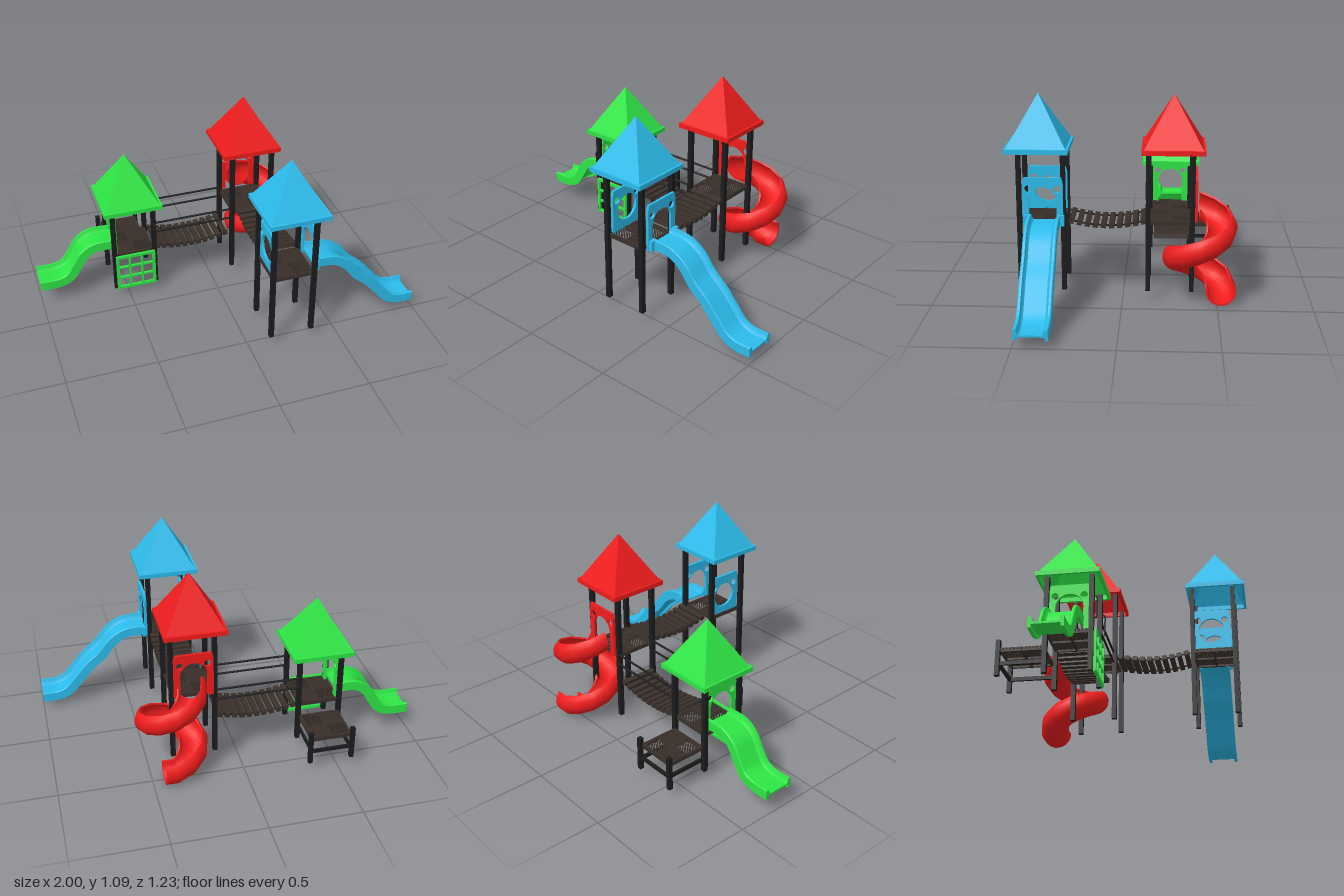
import * as THREE from 'three';
import { toCreasedNormals } from 'three/addons/utils/BufferGeometryUtils.js';

const mat = (color) => new THREE.MeshStandardMaterial({ color, side: THREE.DoubleSide });
const GREEN = mat(0x2ee645), BLUE = mat(0x2cbcec), RED = mat(0xf01c1c);
const DARK = mat(0x1c1c1e), WOOD = mat(0x3a302a);

function add(parent, name, geo, material, x = 0, y = 0, z = 0) {
  const m = new THREE.Mesh(geo, material);
  m.name = name;
  m.position.set(x, y, z);
  parent.add(m);
  return m;
}
const box = (p, name, m, w, h, d, x, y, z) => add(p, name, new THREE.BoxGeometry(w, h, d), m, x, y, z);
function group(parent, name, x = 0, y = 0, z = 0) {
  const g = new THREE.Group();
  g.name = name;
  g.position.set(x, y, z);
  parent.add(g);
  return g;
}

// Joins equal closed cross-sections into a solid with capped ends
function loft(section, frames, place, crease) {
  const n = section.length, pos = [], idx = [];
  frames.forEach((f) => section.forEach((s) => pos.push(...place(f, s))));
  for (let i = 0; i < frames.length - 1; i++)
    for (let j = 0; j < n; j++) {
      const a = i * n + j, b = i * n + (j + 1) % n;
      idx.push(a, b, a + n, b, b + n, a + n);
    }
  const last = (frames.length - 1) * n;
  for (const [a, b, c] of THREE.ShapeUtils.triangulateShape(section, []))
    idx.push(a, c, b, last + a, last + b, last + c);
  const geo = new THREE.BufferGeometry();
  geo.setAttribute('position', new THREE.Float32BufferAttribute(pos, 3));
  geo.setIndex(idx);
  return toCreasedNormals(geo, crease);
}

// Hipped roof: square fascia frame with an open pyramid above
function roof(parent, m, x, y, z) {
  const g = group(parent, 'roof', x, y, z);
  for (const s of [-1, 1]) {
    box(g, 'fascia', m, 0.332, 0.025, 0.014, 0, 0.0125, s * 0.159);
    box(g, 'fascia', m, 0.014, 0.025, 0.304, s * 0.159, 0.0125, 0);
  }
  const cone = new THREE.ConeGeometry(0.156 * Math.SQRT2, 0.27, 4, 1, true).toNonIndexed();
  cone.rotateY(Math.PI / 4);
  cone.computeVertexNormals();
  add(g, 'pyramid', cone, m, 0, 0.157, 0);
}

// Square grating: frame, cross bars and mirrored diagonal slats
function deck(parent, size, x, y, z) {
  const g = group(parent, 'deck', x, y, z), h = size / 2;
  for (const s of [-1, 0, 1]) {
    box(g, 'deckBeam', WOOD, size, 0.022, 0.012, 0, 0, s * (h - 0.006));
    box(g, 'deckBeam', WOOD, 0.012, 0.022, size, s * (h - 0.006), 0, 0);
  }
  for (const sx of [-1, 1]) for (const sz of [-1, 1])
    for (let c = 0.02; c < size - 0.01; c += 0.0185) {
      const len = Math.min(c, size - c) * Math.SQRT2;
      const slat = box(g, 'deckSlat', WOOD, len, 0.01, 0.008, sx * c / 2, 0.004, sz * c / 2);
      slat.rotation.y = sx * sz * Math.PI / 4;
    }
}

function tower(parent, name, m, x, z, floor, eave, rx, rz) {
  const g = group(parent, name);
  for (const sx of [-1, 1]) for (const sz of [-1, 1])
    box(g, 'post', DARK, 0.025, eave - 0.04, 0.025, x + sx * 0.116, (eave + 0.06) / 2, z + sz * 0.116);
  deck(g, 0.23, x, floor, z);
  roof(g, m, rx, eave, rz);
  return g;
}

// Wall panel with two peepholes and a round window or an arched doorway
function panel(parent, m, arch, x, y, z, turn) {
  const s = new THREE.Shape(), w = 0.106, r = 0.072, cy = 0.131;
  s.moveTo(-w, 0);
  if (arch) {
    s.lineTo(-r, 0);
    s.lineTo(-r, cy);
    s.absarc(0, cy, r, Math.PI, 0, true);
    s.lineTo(r, 0);
  }
  [[w, 0], [w, 0.225], [w - 0.008, 0.255], [-w + 0.008, 0.255], [-w, 0.225]].forEach((p) => s.lineTo(...p));
  const hole = (hx, hy, hr) => s.holes.push(new THREE.Path().absarc(hx, hy, hr, 0, Math.PI * 2, true));
  hole(-0.075, 0.193, 0.019);
  hole(0.075, 0.193, 0.019);
  if (!arch) hole(0, cy, r);
  const geo = new THREE.ExtrudeGeometry(s, { depth: 0.014, bevelEnabled: false, curveSegments: 24 });
  geo.translate(0, 0, -0.007);
  add(parent, arch ? 'doorPanel' : 'windowPanel', geo, m, x, y, z).rotation.y = turn;
}

// Wavy slide: H-shaped section carried along a path in x and y
function slide(parent, name, m, path, z) {
  const curve = new THREE.CatmullRomCurve3(path.map(([x, y]) => new THREE.Vector3(x, y, z)));
  const half = [[0.085, -0.028], [0.085, 0.024], [0.08, 0.028], [0.069, 0.028], [0.064, 0.01], [0.055, 0]];
  const section = [[0.069, -0.01], [0.069, -0.028], ...half].map((p) => new THREE.Vector2(...p));
  section.push(...section.slice().reverse().map((p) => new THREE.Vector2(-p.x, p.y)));
  const frames = [];
  for (let i = 0; i <= 36; i++) {
    const t = curve.getTangentAt(i / 36), n = new THREE.Vector3(-t.y, t.x, 0);
    if (n.y < 0) n.negate();
    frames.push({ p: curve.getPointAt(i / 36), n });
  }
  add(parent, name, loft(section, frames, ({ p, n }, s) => [p.x + n.x * s.y, p.y + n.y * s.y, p.z + s.x], 0.6), m);
}

// Spiral trough of one and a quarter turns with a raised outer wall
function spiral(parent) {
  const section = [], steps = 15;
  for (const [r, dir] of [[0.08, 1], [0.07, -1]])
    for (let i = 0; i <= 14; i++) {
      const k = dir > 0 ? i / 14 : 1 - i / 14, a = -Math.PI + k * (Math.PI + 0.85);
      section.push(new THREE.Vector2(r * Math.cos(a), r * Math.sin(a)));
    }
  const frames = [];
  for (let i = 0; i <= steps; i++) {
    const a = Math.PI + (i / steps) * Math.PI * 2.5;
    frames.push({ c: Math.cos(a), s: Math.sin(a), y: 0.5 - 0.42 * i / steps, ex: 0 });
  }
  // Straight run out at the foot
  const end = frames[steps];
  frames.push({ ...end, ex: 0.065 });
  const place = (f, q) => [0.373 + f.c * (0.115 + q.x) + f.ex, f.y + q.y, -0.405 + f.s * (0.115 + q.x)];
  add(parent, 'spiralSlide', loft(section, frames, place, 0.75), RED);
}

// Hanging bridge running along local x, with slats on two sagging cables
function bridge(parent, name, length, sag, count, x, y, z, turn) {
  const g = group(parent, name, x, y, z);
  g.rotation.y = turn;
  const height = (u) => -sag * (1 - u * u);
  for (let i = 0; i < count; i++) {
    const u = ((i + 0.5) / count) * 2 - 1;
    const slat = box(g, 'bridgeSlat', WOOD, 0.027, 0.025, 0.205, u * length / 2, height(u), 0);
    slat.rotation.z = Math.atan(4 * sag * u / length);
  }
  const pts = [-1, -0.5, 0, 0.5, 1].map((u) => new THREE.Vector3(u * length / 2, height(u), 0));
  for (const s of [-1, 1])
    add(g, 'cable', new THREE.TubeGeometry(new THREE.CatmullRomCurve3(pts), 20, 0.005, 6), DARK, 0, 0, s * 0.085);
  return g;
}

export function createModel() {
  const root = new THREE.Group();
  root.name = 'playground';

  const green = tower(root, 'greenTower', GREEN, -0.457, -0.25, 0.267, 0.565, -0.46, -0.253);
  const red = tower(root, 'redTower', RED, 0.245, -0.25, 0.426, 0.8, 0.236, -0.264);
  const blue = tower(root, 'blueTower', BLUE, 0.24, 0.427, 0.426, 0.8, 0.239, 0.446);

  // Panels
  panel(green, GREEN, true, -0.56, 0.275, -0.25, Math.PI / 2);
  panel(red, RED, true, 0.245, 0.432, -0.386, 0);
  panel(blue, BLUE, true, 0.374, 0.418, 0.416, Math.PI / 2);
  panel(blue, BLUE, false, 0.138, 0.418, 0.416, Math.PI / 2);

  // Slides
  slide(green, 'greenSlide', GREEN, [[-0.56, 0.325], [-0.68, 0.322], [-0.74, 0.285], [-0.785, 0.215],
    [-0.83, 0.152], [-0.89, 0.127], [-1, 0.125]], -0.259);
  slide(blue, 'blueSlide', BLUE, [[0.375, 0.447], [0.5, 0.437], [0.575, 0.39], [0.64, 0.31], [0.715, 0.245],
    [0.785, 0.165], [0.85, 0.095], [0.91, 0.072], [1, 0.07]], 0.409);
  for (const s of [-1, 1]) box(blue, 'slideFlange', BLUE, 0.018, 0.058, 0.025, 0.39, 0.444, 0.41 + s * 0.094);
  spiral(red);

  // Bridges and handrails
  bridge(root, 'lowBridge', 0.45, 0.032, 11, -0.108, 0.272, -0.262, 0);
  bridge(root, 'highBridge', 0.42, 0.03, 10, 0.258, 0.438, 0.08, Math.PI / 2);
  for (const z of [-0.378, -0.14]) for (const y of [0.385, 0.445]) {
    const rail = add(root, 'handrail', new THREE.CylinderGeometry(0.006, 0.006, 0.47, 10), DARK, -0.106, y, z);
    rail.rotation.z = Math.PI / 2;
  }

  // Climbing grid and grab handles on the green tower
  const grid = group(green, 'climbingGrid', -0.457, 0.163, -0.115);
  for (let i = 0; i < 4; i++) {
    const k = i / 1.5 - 1, edge = i % 3 === 0 ? 0.016 : 0.011;
    box(grid, 'gridUpright', GREEN, edge, 0.225, 0.014, k * 0.106, 0, 0);
    box(grid, 'gridRung', GREEN, 0.222, edge, 0.014, 0, k * 0.105, 0);
  }
  for (const s of [-1, 1]) {
    const pts = [[0.333, -0.125], [0.338, -0.11], [0.395, -0.109], [0.452, -0.11], [0.457, -0.125]]
      .map(([y, z]) => new THREE.Vector3(-0.457 + s * 0.116, y, z));
    add(green, 'grabHandle', new THREE.TubeGeometry(new THREE.CatmullRomCurve3(pts), 20, 0.004, 8), DARK);
  }

  // Step platform behind the green tower
  const step = group(green, 'stepPlatform');
  deck(step, 0.225, -0.457, 0.19, -0.484);
  for (const s of [-1, 1]) {
    box(step, 'stepPost', DARK, 0.023, 0.19, 0.023, -0.457 + s * 0.116, 0.145, -0.602);
    box(step, 'stepBrace', DARK, 0.012, 0.02, 0.22, -0.457 + s * 0.108, 0.118, -0.484);
  }
  box(step, 'stepBrace', DARK, 0.225, 0.02, 0.012, -0.457, 0.118, -0.598);

  return root;
}
